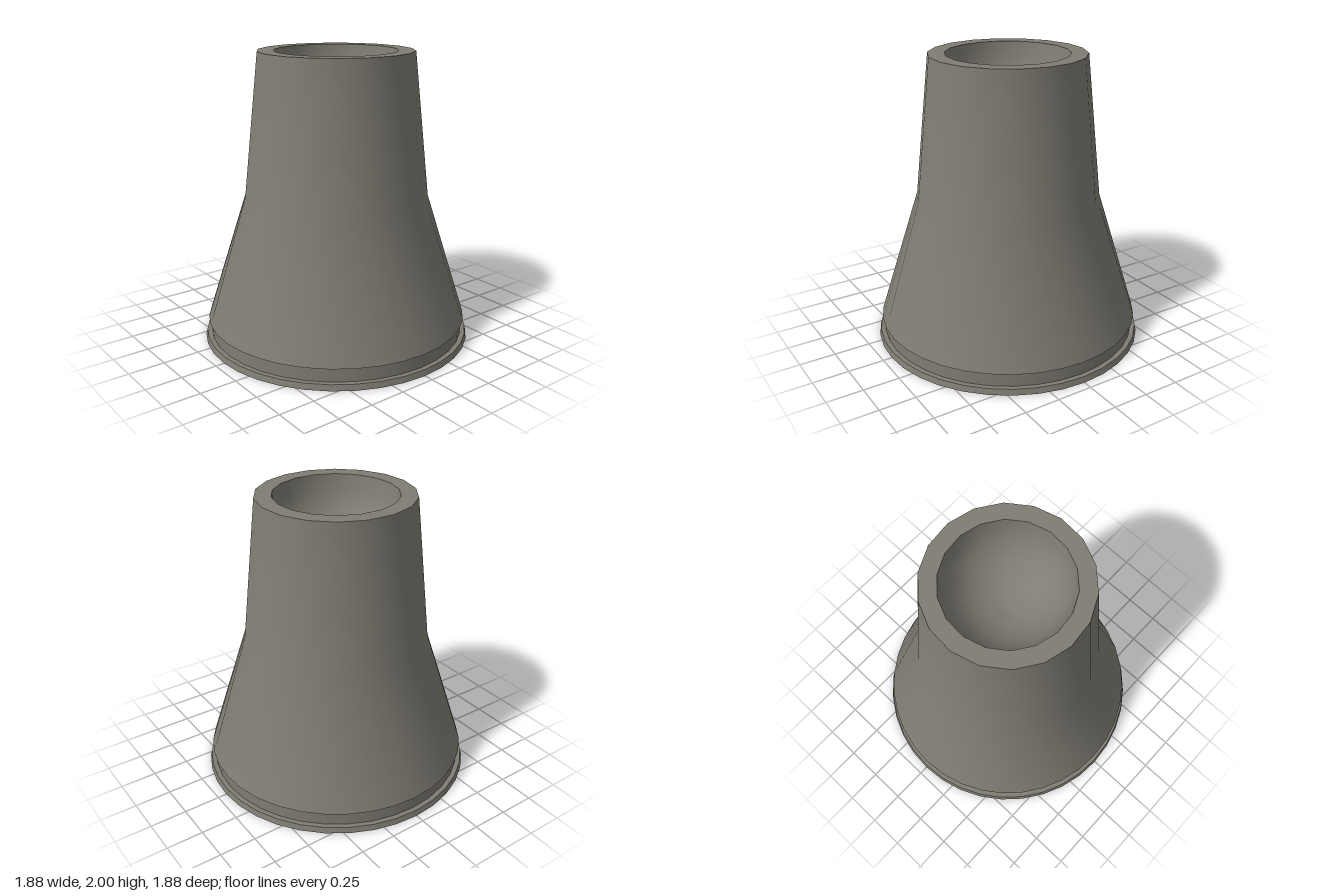
import * as THREE from 'three';

const RAD = Math.PI / 180;

// Surface of revolution through one smooth run of [radius, height] points
function revolve(points, segments = 36, start = 0, length = 360) {
  const profile = points.map(([r, y]) => new THREE.Vector2(r, y));
  return new THREE.LatheGeometry(profile, segments, start * RAD, length * RAD);
}

// Blend the round lower section into an 18-sided neck, turned slightly
function facetNeck(geometry) {
  const p = geometry.attributes.position;
  const turn = -4.3 * RAD;
  for (let i = 0; i < p.count; i++) {
    const y = p.getY(i);
    if (y < 1) continue;
    const x = p.getX(i), z = p.getZ(i);
    const r = Math.hypot(x, z);
    const step = Math.round(Math.atan2(x, z) / (10 * RAD));
    const a = step * 10 * RAD + turn;
    const radius = step % 2 === 0 ? r : r * Math.cos(10 * RAD);
    p.setXYZ(i, Math.sin(a) * radius, y, Math.cos(a) * radius);
  }
  return geometry;
}

export function createModel() {
  const group = new THREE.Group();
  group.name = 'flaredNozzle';

  const metal = new THREE.MeshStandardMaterial({ color: 0x7f7c73 });
  metal.name = 'warmGrey';

  const add = (name, geometry) => {
    const mesh = new THREE.Mesh(geometry, metal);
    mesh.name = name;
    group.add(mesh);
  };

  // Flared outer shell and flat mouth
  add('outerShell', facetNeck(revolve([[0.912, 0.137], [0.635, 1.02], [0.53, 2]])));
  add('mouthRim', facetNeck(revolve([[0.53, 2], [0.417, 2]])));

  // Rounded bowl sunk into the mouth
  const bowl = [];
  for (let i = 0; i <= 6; i++) {
    const t = i * 15 * RAD;
    bowl.push([i < 6 ? 0.417 * Math.cos(t) : 0, 2 - 0.42 * Math.sin(t)]);
  }
  add('mouthBowl', facetNeck(revolve(bowl)));

  // Hollow underside, narrowing upwards to a domed ceiling
  add('lowerHollow', facetNeck(revolve([
    [0, 1.55], [0.25, 1.52], [0.46, 1.4], [0.525, 1.02], [0.885, 0.12],
  ])));

  // Lip, groove and foot ring
  add('shellLip', revolve([[0.895, 0.137], [0.912, 0.137]]));
  add('grooveWall', revolve([[0.895, 0.04], [0.895, 0.137]]));
  add('footTop', revolve([[0.928, 0.04], [0.895, 0.04]]));
  add('footEdge', revolve([[0.938, 0], [0.928, 0.04]]));
  add('footUnderside', revolve([[0.89, 0], [0.938, 0]]));
  add('footInnerWall', revolve([[0.885, 0.12], [0.89, 0]]));

  // Thin wedge-shaped web reaching from the back left rim to the middle
  add('floorWedge', revolve([[0, 0.118], [0.885, 0.118]], 1, 127.5, 15));
  add('floorWedgeTop', revolve([[0.885, 0.122], [0, 0.122]], 1, 127.5, 15));

  return group;
}
